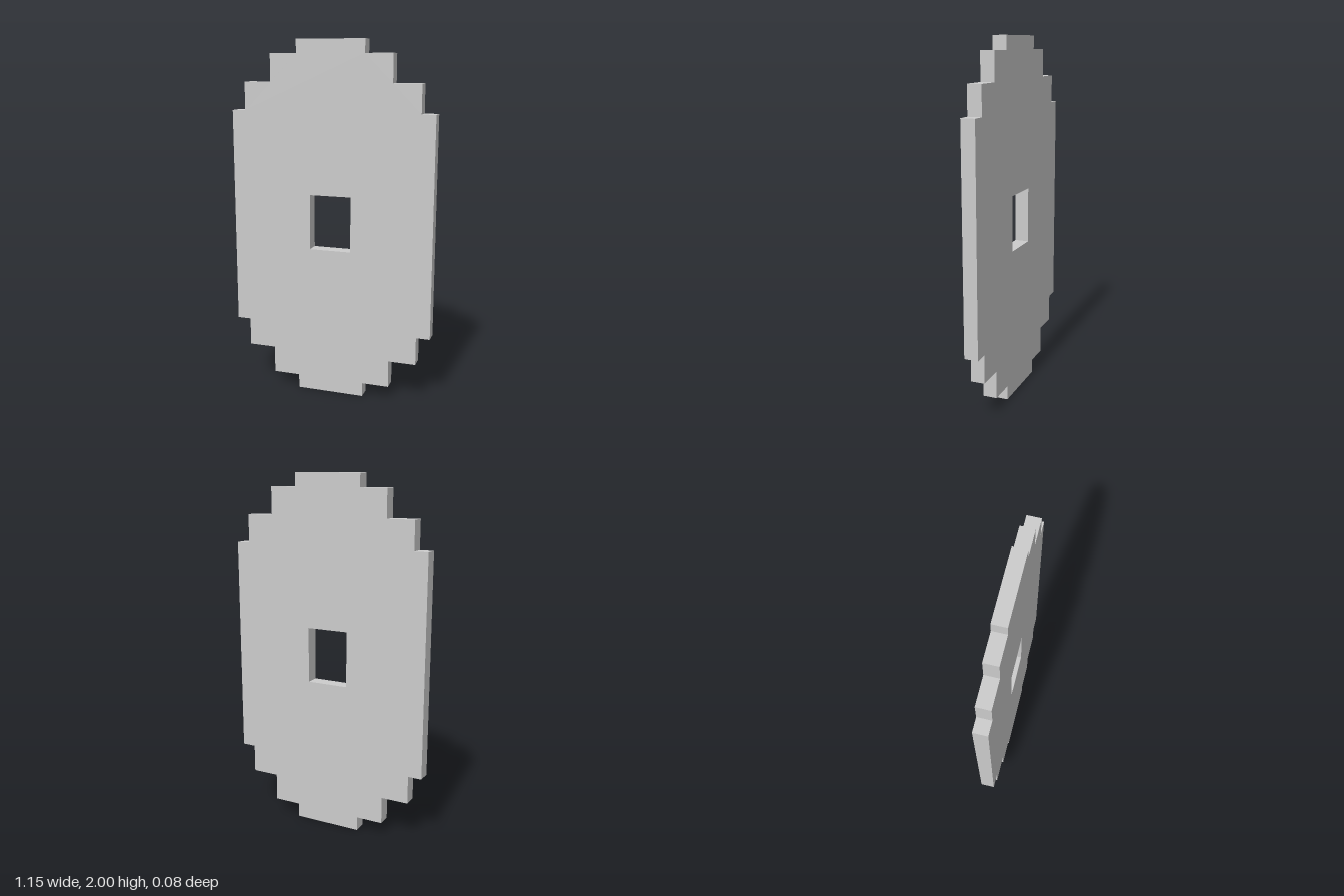
import * as THREE from 'three';

export function createModel() {
  const group = new THREE.Group();
  const material = new THREE.MeshStandardMaterial({ color: 0xcccccc, flatShading: true });

  // Stepped tiers from widest to narrowest: half width, lower edge, upper edge
  const tiers = [
    [0.576, 0.391, 1.615],
    [0.499, 0.233, 1.772],
    [0.345, 0.079, 1.926],
    [0.193, 0, 2],
  ];

  // Right-hand half of the outline, bottom to top, then mirrored for the left
  const half = [];
  [...tiers].reverse().forEach(([w, low], i, list) => {
    half.push([w, low]);
    if (i < list.length - 1) half.push([w, list[i + 1][1]]);
  });
  tiers.forEach(([w, , high], i) => {
    if (i > 0) half.push([w, tiers[i - 1][2]]);
    half.push([w, high]);
  });
  const mirrored = half.map(([x, y]) => [-x, y]).reverse();
  const toPoints = (list) => list.map(([x, y]) => new THREE.Vector2(x, y));
  const outline = new THREE.Shape(toPoints([...half, ...mirrored]));

  // Rectangular opening through the middle
  outline.holes.push(new THREE.Path(toPoints([
    [-0.119, 0.847], [-0.119, 1.157], [0.117, 1.157], [0.117, 0.847],
  ])));

  const depth = 0.077;
  const geometry = new THREE.ExtrudeGeometry(outline, { depth, bevelEnabled: false });
  geometry.translate(0, 0, -depth / 2);

  const plate = new THREE.Mesh(geometry, material);
  plate.name = 'steppedPlate';
  group.add(plate);
  return group;
}
